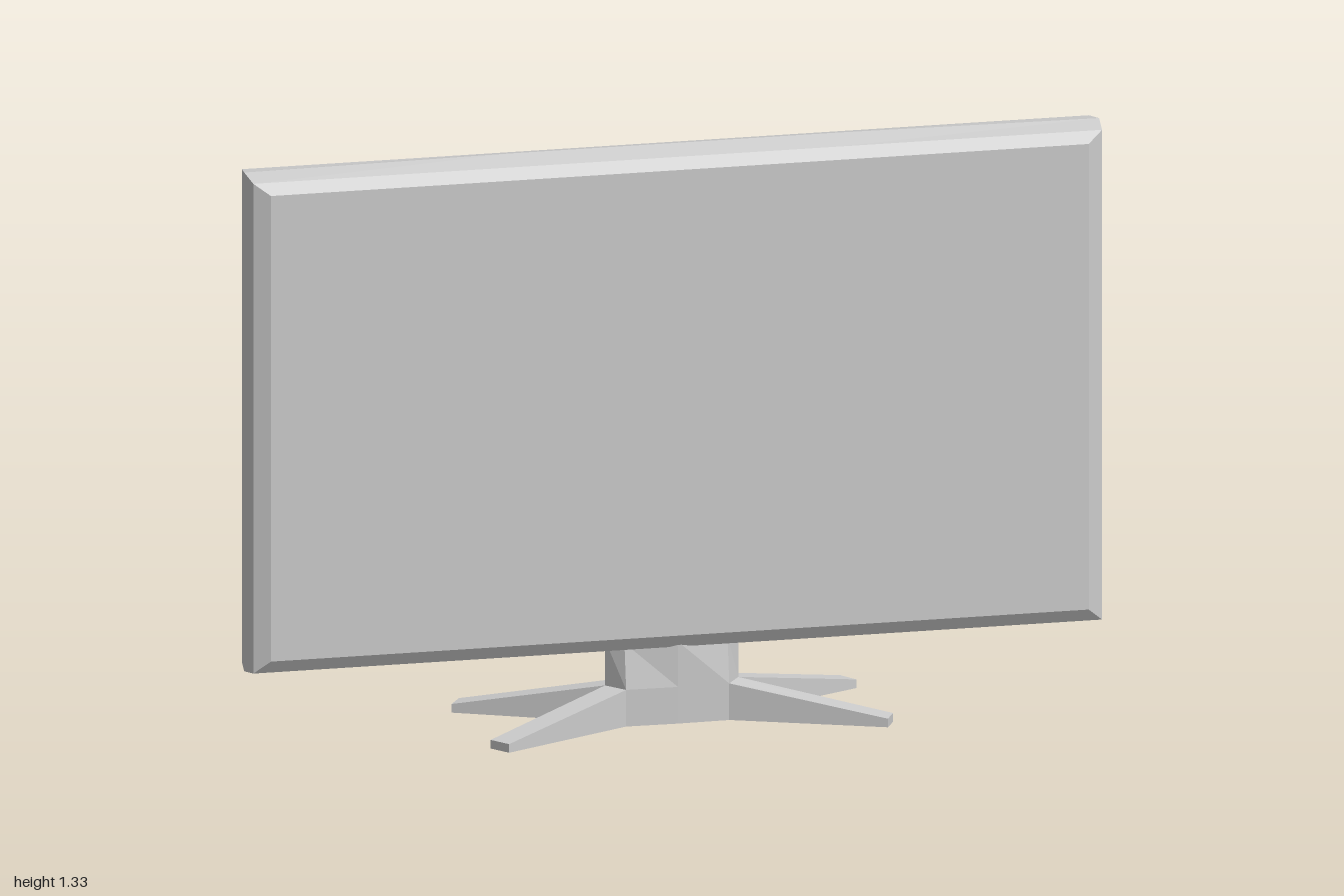
import * as THREE from 'three';

const material = new THREE.MeshStandardMaterial({ color: 0xcccccc, flatShading: true });

// Skins a stack of equal-length rings into a closed, roughly convex solid
function loft(name, rings) {
  const centre = (pts) => pts.reduce((s, p) => s.add(p), new THREE.Vector3()).divideScalar(pts.length);
  const middle = centre(rings.flat());
  const pos = [];
  const tri = (a, b, c) => {
    const normal = b.clone().sub(a).cross(c.clone().sub(a));
    const outward = centre([a, b, c]).sub(middle);
    for (const p of normal.dot(outward) < 0 ? [a, c, b] : [a, b, c]) pos.push(p.x, p.y, p.z);
  };
  const n = rings[0].length;
  for (let i = 0; i < n; i++) {
    const j = (i + 1) % n;
    for (let r = 0; r < rings.length - 1; r++) {
      tri(rings[r][i], rings[r][j], rings[r + 1][j]);
      tri(rings[r][i], rings[r + 1][j], rings[r + 1][i]);
    }
    for (const cap of [rings[0], rings[rings.length - 1]]) tri(cap[i], cap[j], centre(cap));
  }
  const geometry = new THREE.BufferGeometry();
  geometry.setAttribute('position', new THREE.Float32BufferAttribute(pos, 3));
  geometry.computeVertexNormals();
  const mesh = new THREE.Mesh(geometry, material);
  mesh.name = name;
  return mesh;
}

// Rectangle at depth z whose sides are slightly crowned over their middle third
function panelRing(z, w, y0, y1, crown) {
  const corners = [[-w, y0, 0, -1], [w, y0, 1, 0], [w, y1, 0, 1], [-w, y1, -1, 0]];
  return corners.flatMap(([x, y, nx, ny], i) => {
    const [x2, y2] = corners[(i + 1) % 4];
    return [0, 0.31, 0.69].map((t) => {
      const c = t ? crown : 0;
      return new THREE.Vector3(x + (x2 - x) * t + nx * c, y + (y2 - y) * t + ny * c, z);
    });
  });
}

// Eight-sided plan of the hub and neck at height y
const hubRing = (y, cornerZ) => [
  [0.155, 0], [0.12, cornerZ], [0, 0.056], [-0.12, cornerZ],
  [-0.155, 0], [-0.12, -cornerZ], [0, -0.056], [0.12, -cornerZ],
].map(([x, z]) => new THREE.Vector3(x, y, z));

export function createModel() {
  const group = new THREE.Group();
  group.name = 'flatScreenDisplay';

  // Bevelled screen casing, back to front
  group.add(loft('screenPanel', [
    panelRing(-0.069, 0.95, 0.21, 1.288, 0),
    panelRing(-0.055, 0.986, 0.178, 1.322, 0),
    panelRing(0, 0.995, 0.171, 1.328, 0.005),
    panelRing(0.053, 0.988, 0.178, 1.314, 0),
    panelRing(0.072, 0.952, 0.208, 1.288, 0),
  ]));

  // Stand: neck, hub and four splayed, tapering feet
  const stand = new THREE.Group();
  stand.name = 'stand';
  stand.add(loft('neck', [hubRing(0.085, 0.053), hubRing(0.19, 0.038)]));
  stand.add(loft('hub', [hubRing(0, 0.053), hubRing(0.085, 0.053)]));
  for (const sx of [-1, 1]) {
    const tips = sx < 0 ? [[0.467, 0.173], [0.437, 0.222]] : [[0.473, 0.162], [0.448, 0.21]];
    const plan = [[0.155, 0], ...tips, [0.12, 0.053]];
    for (const sz of [-1, 1]) {
      const ring = (rootY, tipY) => plan.map(([x, z], i) =>
        new THREE.Vector3(sx * x, i === 1 || i === 2 ? tipY : rootY, sz * z));
      stand.add(loft('foot', [ring(0, 0), ring(0.085, 0.02)]));
    }
  }
  group.add(stand);
  return group;
}
